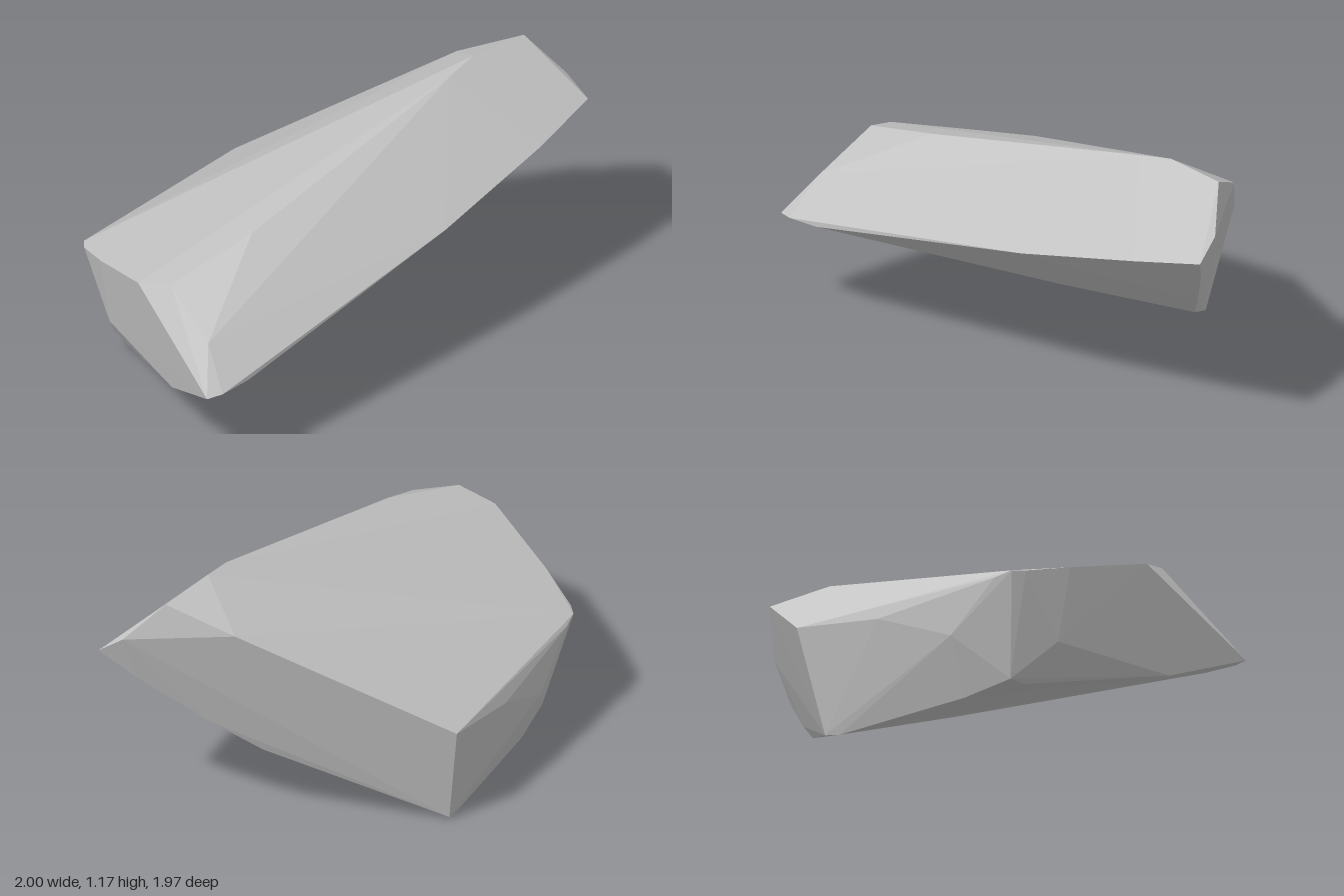
import * as THREE from 'three';
import { ConvexGeometry } from 'three/addons/geometries/ConvexGeometry.js';

// Corner points of the chipped boulder, grouped by region
const topRim = [
  [-0.68, 0.73, 0.55], [-0.53, 0.78, 0.62], [-0.23, 0.89, 0.34],
  [0.46, 1.145, -0.59], [0.54, 1.17, -0.73], [0.72, 1.155, -0.945],
];
const frontTip = [
  [-0.34, 0.635, 0.82], [-0.32, 0.46, 0.98], [-0.26, 0.465, 0.94], [-0.17, 0.47, 0.82],
];
const rightRidge = [
  [0.52, 0.70, -0.1], [0.85, 0.835, -0.6], [1, 0.9, -0.89], [0.9, 0.985, -0.945],
];
const backEdge = [
  [0.43, 1.02, -0.985], [-0.5, 0.49, -0.91],
];
const leftEdge = [
  [-0.71, 0.44, -0.58], [-0.97, 0.52, -0.1], [-1, 0.54, -0.03],
  [-0.99, 0.545, 0.03], [-0.89, 0.61, 0.22], [-0.86, 0.3, -0.28], [-0.86, 0.28, 0.17],
];
const underside = [
  [-0.87, 0.1, -0.03], [-0.82, 0.1, 0.03], [-0.78, 0.05, -0.22], [-0.5, 0, -0.73],
  [-0.47, 0.01, -0.79], [-0.52, 0.29, 0.65], [-0.4, 0.38, 0.82], [0.095, 0.37, -0.22],
  [0.31, 0.36, -0.81], [0.53, 0.515, -0.84], [0.84, 0.76, -0.88],
];

export function createModel() {
  const group = new THREE.Group();
  group.name = 'boulder';

  const stone = new THREE.MeshStandardMaterial({ color: 0xc4c4c4, flatShading: true });
  stone.name = 'light grey stone';

  // One faceted convex rock wrapped around the corner points
  const points = [topRim, frontTip, rightRidge, backEdge, leftEdge, underside]
    .flat()
    .map(([x, y, z]) => new THREE.Vector3(x, y, z));
  const rock = new THREE.Mesh(new ConvexGeometry(points), stone);
  rock.name = 'rock';
  group.add(rock);
  return group;
}
